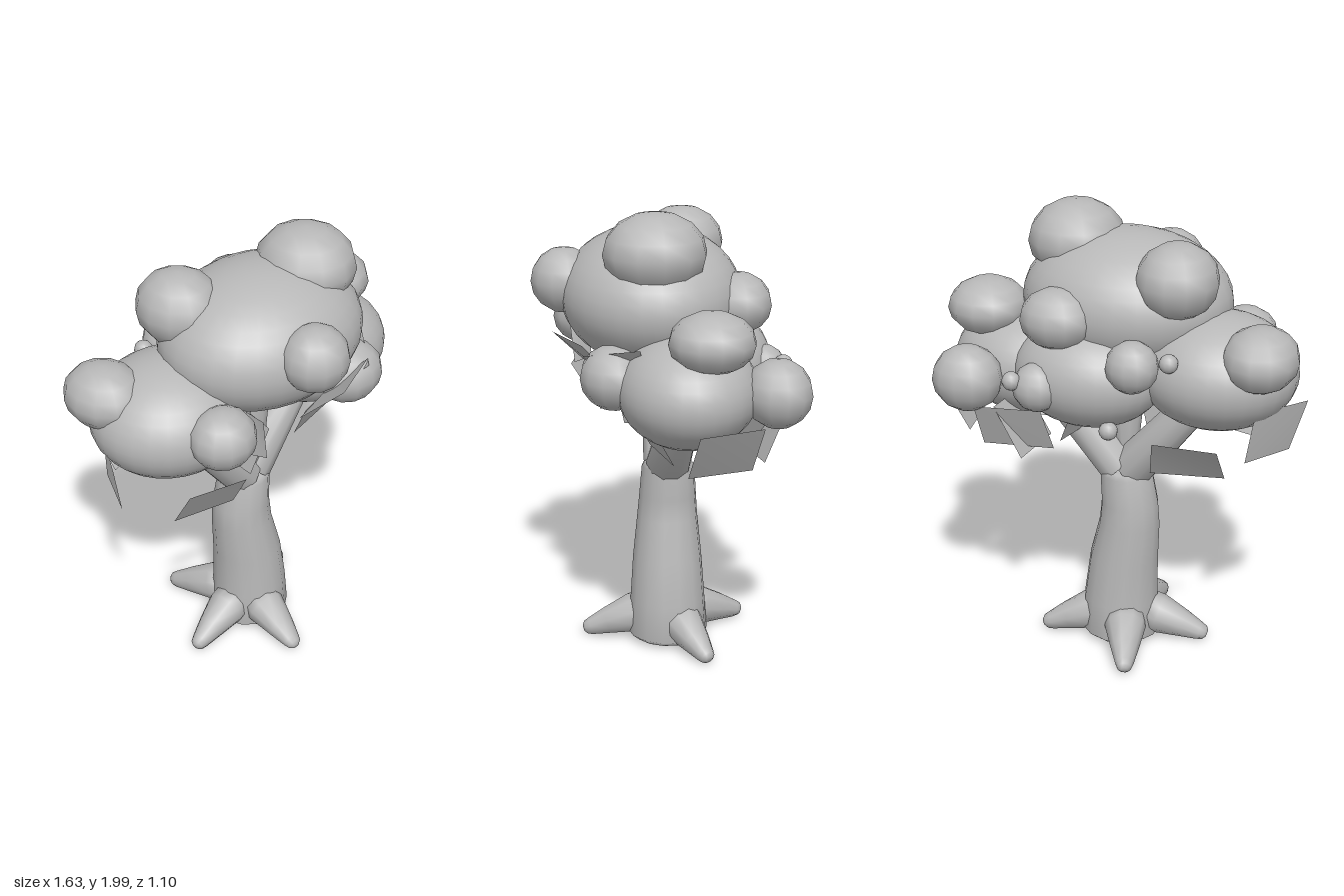
import * as THREE from 'three';

export function createModel() {
  const model = new THREE.Group();
  const grey = new THREE.MeshStandardMaterial({ color: 0xb8b8b8, side: THREE.DoubleSide });
  grey.name = 'clay grey';

  const add = (name, geometry, parent = model) => {
    const mesh = new THREE.Mesh(geometry, grey);
    mesh.name = name;
    parent.add(mesh);
    return mesh;
  };
  const group = (name) => {
    const g = new THREE.Group();
    g.name = name;
    model.add(g);
    return g;
  };

  // Tapered limb: round cross-sections [x, y, z, radius] square to the overall axis, closed ends
  const limb = (rings, sides = 12) => {
    const first = new THREE.Vector3(...rings[0]);
    const last = new THREE.Vector3(...rings[rings.length - 1]);
    const axis = last.clone().sub(first).normalize();
    const turn = new THREE.Quaternion().setFromUnitVectors(new THREE.Vector3(0, 1, 0), axis);
    const all = [[...rings[0].slice(0, 3), 0], ...rings, [...rings[rings.length - 1].slice(0, 3), 0]];
    const pos = [], index = [];
    all.forEach(([x, y, z, r], i) => {
      for (let j = 0; j < sides; j++) {
        const a = (j / sides) * Math.PI * 2;
        const p = new THREE.Vector3(Math.sin(a) * r, 0, Math.cos(a) * r).applyQuaternion(turn);
        pos.push(p.x + x, p.y + y, p.z + z);
        if (i === 0) continue;
        const k = (j + 1) % sides, lo = (i - 1) * sides, hi = i * sides;
        index.push(lo + j, lo + k, hi + k, lo + j, hi + k, hi + j);
      }
    });
    const g = new THREE.BufferGeometry();
    g.setAttribute('position', new THREE.Float32BufferAttribute(pos, 3));
    g.setIndex(index);
    g.computeVertexNormals();
    return g;
  };

  // Trunk with a gentle sway
  add('trunk', limb([
    [0.01, 0.015, -0.027, 0.15], [0.01, 0.04, -0.027, 0.18], [0.01, 0.2, -0.027, 0.168],
    [-0.005, 0.4, -0.027, 0.154], [-0.033, 0.58, -0.03, 0.135], [-0.035, 0.68, -0.032, 0.127],
    [-0.018, 0.82, -0.032, 0.117], [-0.017, 0.84, -0.032, 0.1],
  ], 14));

  // Roots taper to a rounded tip
  const roots = group('roots');
  [[0.34, -0.175], [-0.39, 0.045], [-0.04, 0.355], [-0.17, -0.39]].forEach(([x, z]) => {
    const cx = -0.01, cz = -0.025;
    const at = (t, y, r) => [cx + (x - cx) * t, y, cz + (z - cz) * t, r];
    add('root', limb([at(0.2, 0.135, 0.09), at(0.4, 0.11, 0.092), at(0.7, 0.073, 0.063),
      at(0.9, 0.045, 0.041), at(0.96, 0.038, 0.032), at(0.99, 0.034, 0.016)], 10), roots);
  });

  // Branches
  const branches = group('branches');
  add('rightBranch', limb([[-0.04, 0.84, -0.025, 0.1], [-0.38, 1.25, -0.02, 0.075]], 10), branches);
  add('leftBranch', limb([[0.01, 0.84, -0.03, 0.1], [0.38, 1.24, -0.06, 0.075]], 10), branches);
  add('middleBranch', limb([[-0.01, 0.83, -0.01, 0.04], [-0.005, 1.1, 0, 0.07], [0, 1.4, 0.02, 0.075]], 10), branches);

  // Foliage masses: centre, then radii
  const foliage = group('foliage');
  const ball = (name, w, h, x, y, z, rx, ry, rz, spin = 0) => {
    const m = add(name, new THREE.SphereGeometry(1, w, h), foliage);
    m.position.set(x, y, z);
    m.scale.set(rx, ry, rz);
    m.rotation.y = spin;
  };
  [
    [0.01, 1.605, 0.045, 0.46, 0.295, 0.385],
    [-0.43, 1.37, -0.02, 0.345, 0.245, 0.32],
    [0.425, 1.3, -0.06, 0.34, 0.235, 0.29],
    [0.08, 1.335, -0.2, 0.33, 0.225, 0.255],
  ].forEach((c) => ball('canopy', 28, 18, ...c));

  // Rounded tufts, a little faceted in outline
  [
    [-0.285, 1.765, -0.12, 0.175, 0.16, 0.187],
    [0.252, 1.83, 0.055, 0.208, 0.17, 0.218],
    [-0.035, 1.665, 0.41, 0.148, 0.14, 0.143],
    [-0.43, 1.41, 0.305, 0.144, 0.128, 0.138],
    [0.345, 1.34, 0.235, 0.16, 0.135, 0.14],
    [-0.662, 1.495, -0.145, 0.16, 0.135, 0.182],
    [0.585, 1.54, -0.135, 0.176, 0.125, 0.178],
    [0.545, 1.31, -0.41, 0.152, 0.143, 0.142],
    [0.17, 1.595, -0.3, 0.162, 0.13, 0.145],
    [-0.18, 1.45, -0.335, 0.112, 0.11, 0.108],
    [0.22, 1.32, -0.4, 0.105, 0.105, 0.105],
  ].forEach((c) => ball('tuft', 12, 8, ...c, 0.1));

  // Berries at the back
  [[0.3, 1.36, -0.475], [-0.33, 1.48, -0.31], [-0.08, 1.155, -0.35]]
    .forEach((c) => ball('berry', 12, 8, ...c, 0.04, 0.04, 0.04));

  // Flat hanging leaves: four corners each
  const leaves = group('leaves');
  [
    [-0.61, 1.2, 0.31, -0.36, 1.2, 0.37, -0.32, 0.99, 0.24, -0.59, 0.99, 0.18],
    [-0.81, 1.27, 0.04, -0.66, 1.27, -0.18, -0.62, 1.04, -0.18, -0.74, 1.04, 0.03],
    [0.14, 1.2, 0.19, 0.4, 1.2, 0.12, 0.48, 0.99, 0, 0.19, 0.99, 0.07],
    [0.81, 1.22, -0.06, 0.72, 1.22, -0.33, 0.61, 1.01, -0.3, 0.68, 1.01, -0.03],
    [0.08, 1.47, 0.47, 0.33, 1.47, 0.36, 0.29, 1.28, 0.2, 0.01, 1.28, 0.29],
    [0.34, 1.43, 0.36, 0.5, 1.49, 0.14, 0.44, 1.4, 0.12, 0.3, 1.39, 0.33],
    [0.5, 1.2, -0.45, 0.22, 1.2, -0.38, 0.2, 1, -0.3, 0.5, 1, -0.37],
    [0.42, 1.2, -0.15, 0.42, 1.2, -0.42, 0.3, 0.98, -0.41, 0.3, 0.98, -0.13],
    [-0.31, 1.17, -0.43, -0.58, 1.17, -0.4, -0.56, 0.99, -0.25, -0.26, 0.99, -0.33],
    [-0.3, 1.47, 0.3, -0.28, 1.45, 0.38, -0.24, 1.24, 0.36, -0.3, 1.25, 0.28],
    [0.07, 1.25, -0.05, 0.1, 1.22, -0.3, 0.18, 1.03, -0.28, 0.15, 1.03, -0.05],
    [-0.06, 1.22, 0, -0.08, 1.22, 0.2, -0.14, 0.98, 0.15, -0.14, 0.98, -0.05],
  ].forEach((corners) => {
    const g = new THREE.BufferGeometry();
    g.setAttribute('position', new THREE.Float32BufferAttribute(corners, 3));
    g.setIndex([0, 1, 2, 0, 2, 3]);
    g.computeVertexNormals();
    add('leaf', g, leaves);
  });

  return model;
}
